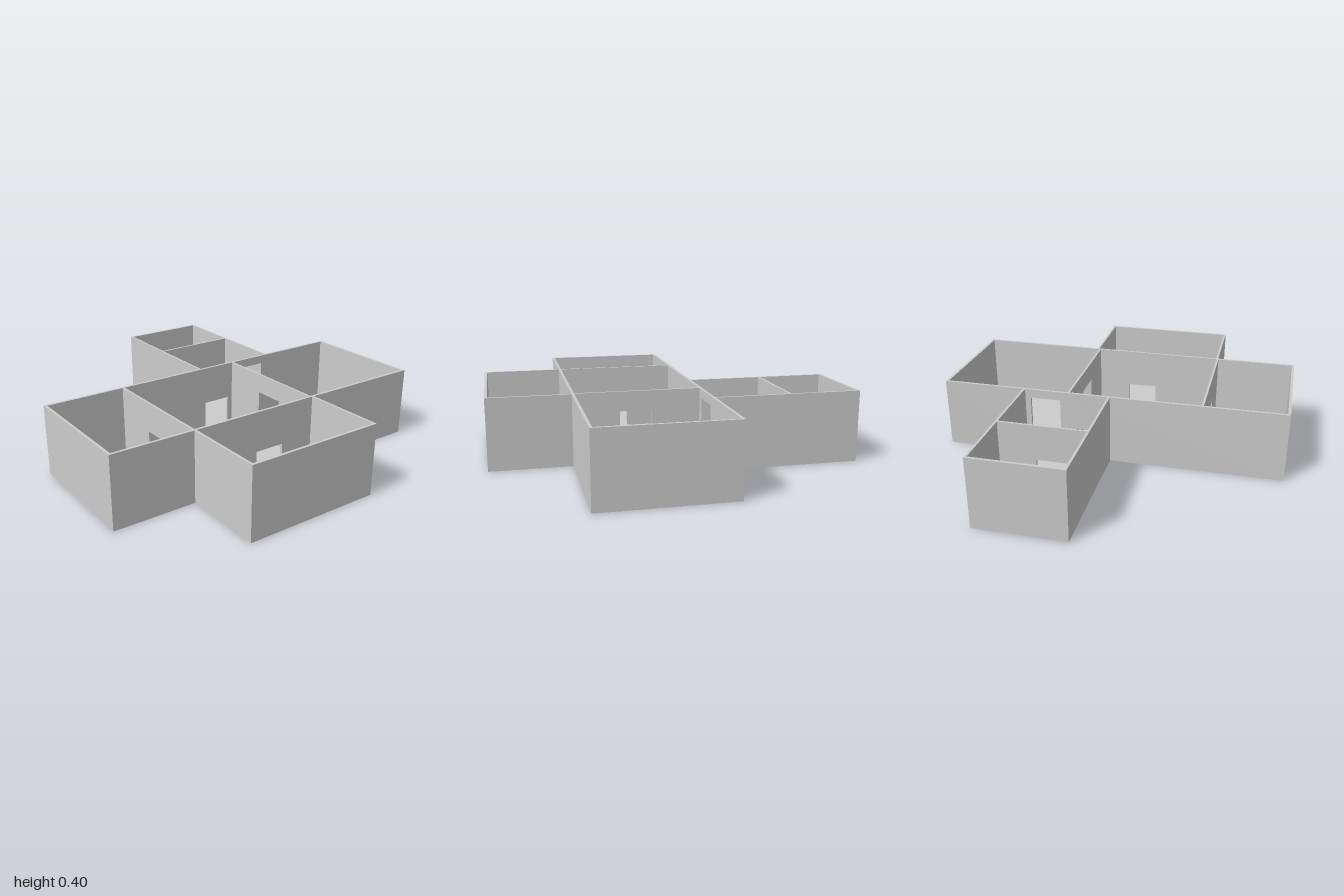
import * as THREE from 'three';

const H = 0.4;       // wall height
const FLOOR = 0.015; // slab thickness

export function createModel() {
  const house = new THREE.Group();
  house.name = 'floorPlan';
  const mat = new THREE.MeshStandardMaterial({ color: 0xcccccc, flatShading: true });

  const add = (name, geo) => {
    const mesh = new THREE.Mesh(geo, mat);
    mesh.name = name;
    house.add(mesh);
    return mesh;
  };

  const floor = (name, x0, x1, z0, z1) => {
    const m = add(name, new THREE.BoxGeometry(x1 - x0, FLOOR, z1 - z0));
    m.position.set((x0 + x1) / 2, FLOOR / 2, (z0 + z1) / 2);
  };

  // Upright wall running from a to b along its axis, occupying c0..c1 across it;
  // door = [start, end, top] cuts a doorway down to the floor
  const wall = (name, axis, a, b, c0, c1, door) => {
    const pts = [[a, 0]];
    if (door) {
      const [s, e, top] = door;
      pts.push([s, 0], [s, top], [e, top], [e, 0]);
    }
    pts.push([b, 0], [b, H], [a, H]);
    const shape = new THREE.Shape(pts.map(([u, y]) => new THREE.Vector2(u, y)));
    const geo = new THREE.ExtrudeGeometry(shape, { depth: c1 - c0, bevelEnabled: false });
    if (axis === 'x') geo.translate(0, 0, c0);
    else geo.rotateY(-Math.PI / 2).translate(c1, 0, 0);
    add(name, geo);
  };

  // Floor slabs
  floor('mainFloor', -0.18, 0.545, -0.985, 0.985);
  floor('rightWingFloor', -1, -0.18, -0.51, 0);
  floor('leftWingFloor', 0.545, 1, -0.26, 0.52);

  // Main block: back, central and front rooms in a row
  wall('backWall', 'x', -0.165, 0.53, -0.985, -0.97);
  wall('frontWall', 'x', -0.165, 0.53, 0.97, 0.985);
  wall('backRoomPartition', 'x', -0.165, 0.53, -0.248, -0.235, [0.105, 0.285, 0.29]);
  wall('frontRoomPartition', 'x', -0.165, 0.53, 0.51, 0.523, [0.11, 0.29, 0.235]);
  wall('mainRightWallBack', 'z', -0.985, -0.245, -0.18, -0.165, [-0.465, -0.29, 0.35]);
  wall('mainRightWallFront', 'z', -0.245, 0.985, -0.18, -0.165, [-0.205, -0.035, 0.18]);
  wall('mainLeftWall', 'z', -0.985, 0.985, 0.53, 0.545, [-0.045, 0.13, 0.175]);

  // Right wing: two small rooms
  wall('rightWingBackWall', 'x', -0.985, -0.18, -0.51, -0.497);
  wall('rightWingFrontWall', 'x', -0.985, -0.18, -0.013, 0);
  wall('rightWingEndWall', 'z', -0.51, 0, -1, -0.985);
  wall('rightWingPartition', 'z', -0.497, -0.013, -0.607, -0.594, [-0.29, -0.11, 0.2]);

  // Left wing: one room
  wall('leftWingBackWall', 'x', 0.545, 0.985, -0.26, -0.247);
  wall('leftWingFrontWall', 'x', 0.545, 0.985, 0.507, 0.52);
  wall('leftWingEndWall', 'z', -0.26, 0.52, 0.985, 1);

  return house;
}
